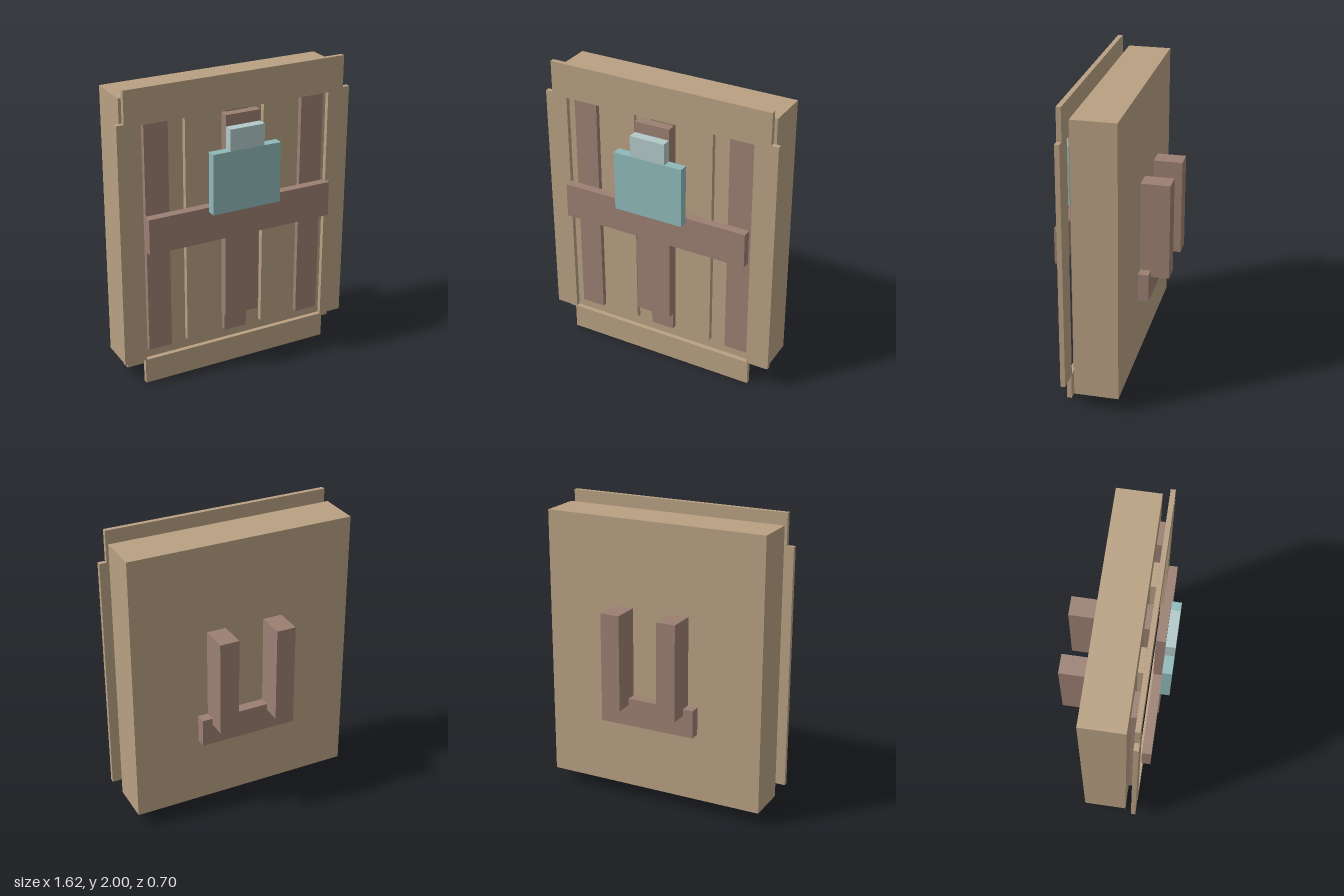
import * as THREE from 'three';

const mat = (name, color) => {
  const m = new THREE.MeshStandardMaterial({ color });
  m.name = name;
  return m;
};

export function createModel() {
  const tan = mat('tan', 0xb8a082);
  const brown = mat('brown', 0x9b7f72);
  const teal = mat('teal', 0x8fb9b9);
  const paleTeal = mat('paleTeal', 0xb2c9c8);
  const model = new THREE.Group();
  model.name = 'framedPanel';

  // Box between two corners
  const box = (name, material, [x0, x1], [y0, y1], [z0, z1]) => {
    const mesh = new THREE.Mesh(new THREE.BoxGeometry(x1 - x0, y1 - y0, z1 - z0), material);
    mesh.position.set((x0 + x1) / 2, (y0 + y1) / 2, (z0 + z1) / 2);
    mesh.name = name;
    model.add(mesh);
  };

  // Flat outline extruded from z0 to z1
  const plate = (name, material, points, [z0, z1]) => {
    const shape = new THREE.Shape(points.map(([x, y]) => new THREE.Vector2(x, y)));
    const geo = new THREE.ExtrudeGeometry(shape, { depth: z1 - z0, bevelEnabled: false });
    const mesh = new THREE.Mesh(geo, material);
    mesh.position.z = z0;
    mesh.name = name;
    model.add(mesh);
  };

  // Thick main slab
  box('body', tan, [-0.76, 0.76], [0.1, 1.93], [-0.137, 0.148]);

  // Thin front frame: stiles with top rail, then the bottom rail
  const frameZ = [0.193, 0.224];
  plate('frame', tan, [
    [-0.808, 0.17], [-0.655, 0.17], [-0.655, 1.77], [0.652, 1.77], [0.652, 0.17], [0.808, 0.17],
    [0.808, 1.79], [0.76, 1.79], [0.76, 2], [-0.76, 2], [-0.76, 1.79], [-0.808, 1.79],
  ], frameZ);
  box('bottomRail', tan, [-0.665, 0.665], [0, 0.17], frameZ);

  // Vertical slats behind the frame, alternating colours
  for (let i = 0; i < 5; i++) {
    const x = 0.008 + (i - 2) * 0.274;
    box('slat' + (i + 1), i % 2 ? tan : brown, [x - 0.08, x + 0.08], [0.215, 1.81], [0.153, 0.187]);
  }

  // Cross-shaped brace
  plate('crossBrace', brown, [
    [-0.12, 0.385], [0.12, 0.385], [0.12, 0.945], [0.642, 0.945], [0.642, 1.18], [0.12, 1.18],
    [0.12, 1.765], [-0.12, 1.765], [-0.12, 1.18], [-0.645, 1.18], [-0.645, 0.945], [-0.12, 0.945],
  ], [0.23, 0.289]);

  // Lock block and its paler top
  box('lockBlock', teal, [-0.237, 0.235], [1.15, 1.55], [0.289, 0.35]);
  box('lockTop', paleTeal, [-0.12, 0.118], [1.55, 1.692], [0.289, 0.35]);

  // Rear bracket: base bar and two posts
  box('bracketBar', brown, [-0.333, 0.33], [0.577, 0.765], [-0.232, -0.162]);
  for (const [name, x] of [['rightPost', -0.199], ['leftPost', 0.195]])
    box(name, brown, [x - 0.065, x + 0.065], [0.72, 1.36], [-0.35, -0.161]);

  return model;
}
